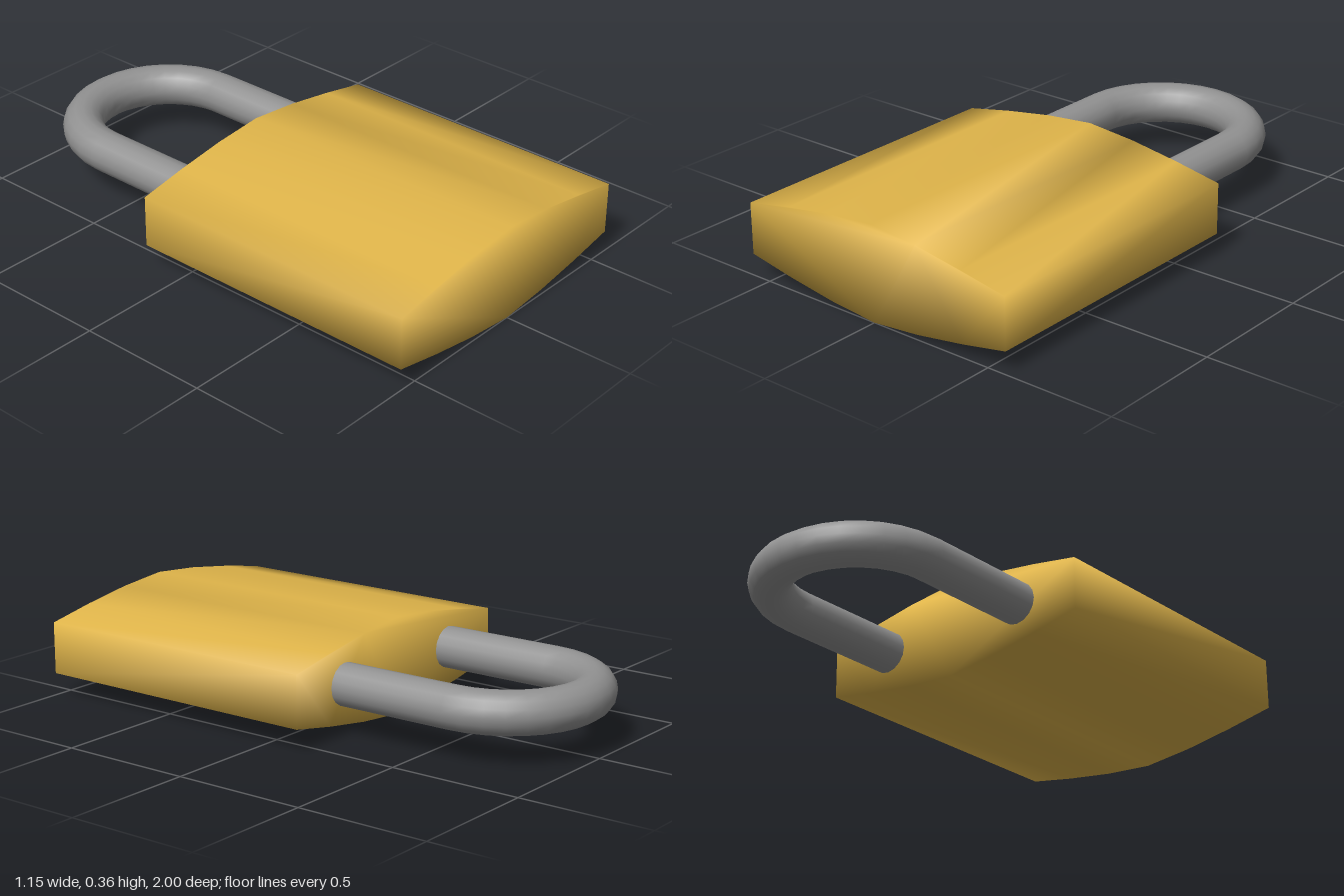
import * as THREE from 'three';
import { mergeVertices } from 'three/addons/utils/BufferGeometryUtils.js';

const MID_Y = 0.18; // height of the horizontal symmetry plane
const BACK_Z = -0.15, FRONT_Z = 1;

// Lens-shaped block: shared corners give soft shading across the edges
function bodyGeometry() {
  const half = [[0.575, 0.097], [0.39, 0.132], [0.195, 0.162], [0, 0.18]];
  const top = [...half, ...half.slice(0, -1).reverse().map(([x, y]) => [-x, y])];
  const bottom = top.map(([x, y]) => [x, -y]).reverse();
  const shape = new THREE.Shape([...top, ...bottom].map(([x, y]) => new THREE.Vector2(x, y)));
  let geo = new THREE.ExtrudeGeometry(shape, { depth: FRONT_Z - BACK_Z, bevelEnabled: false });
  geo.deleteAttribute('uv');
  geo.deleteAttribute('normal');
  geo = mergeVertices(geo, 1e-4);
  geo.computeVertexNormals();
  return geo.translate(0, MID_Y, BACK_Z);
}

// Half ring with two straight legs that sink slightly into the body
function createShackle(material) {
  const shackle = new THREE.Group();
  shackle.name = 'shackle';
  const radius = 0.31, tube = 0.078, bendZ = -0.612;
  const bend = new THREE.Mesh(new THREE.TorusGeometry(radius, tube, 16, 16, Math.PI), material);
  bend.name = 'shackleBend';
  bend.rotation.x = -Math.PI / 2;
  bend.position.z = bendZ;
  shackle.add(bend);

  const length = BACK_Z + 0.03 - bendZ;
  for (const side of [1, -1]) {
    const leg = new THREE.Mesh(new THREE.CylinderGeometry(tube, tube, length, 16), material);
    leg.name = side > 0 ? 'leftShackleLeg' : 'rightShackleLeg';
    leg.rotation.set(Math.PI / 2, Math.PI / 2, 0, 'XYZ');
    leg.position.set(side * radius, 0, bendZ + length / 2);
    shackle.add(leg);
  }
  shackle.position.set(-0.004, MID_Y + 0.003, 0);
  return shackle;
}

export function createModel() {
  const model = new THREE.Group();
  model.name = 'padlock';
  const brass = new THREE.MeshStandardMaterial({ color: 0xe0b54a });
  const steel = new THREE.MeshStandardMaterial({ color: 0x929292 });

  const body = new THREE.Mesh(bodyGeometry(), brass);
  body.name = 'body';
  model.add(body, createShackle(steel));
  return model;
}
